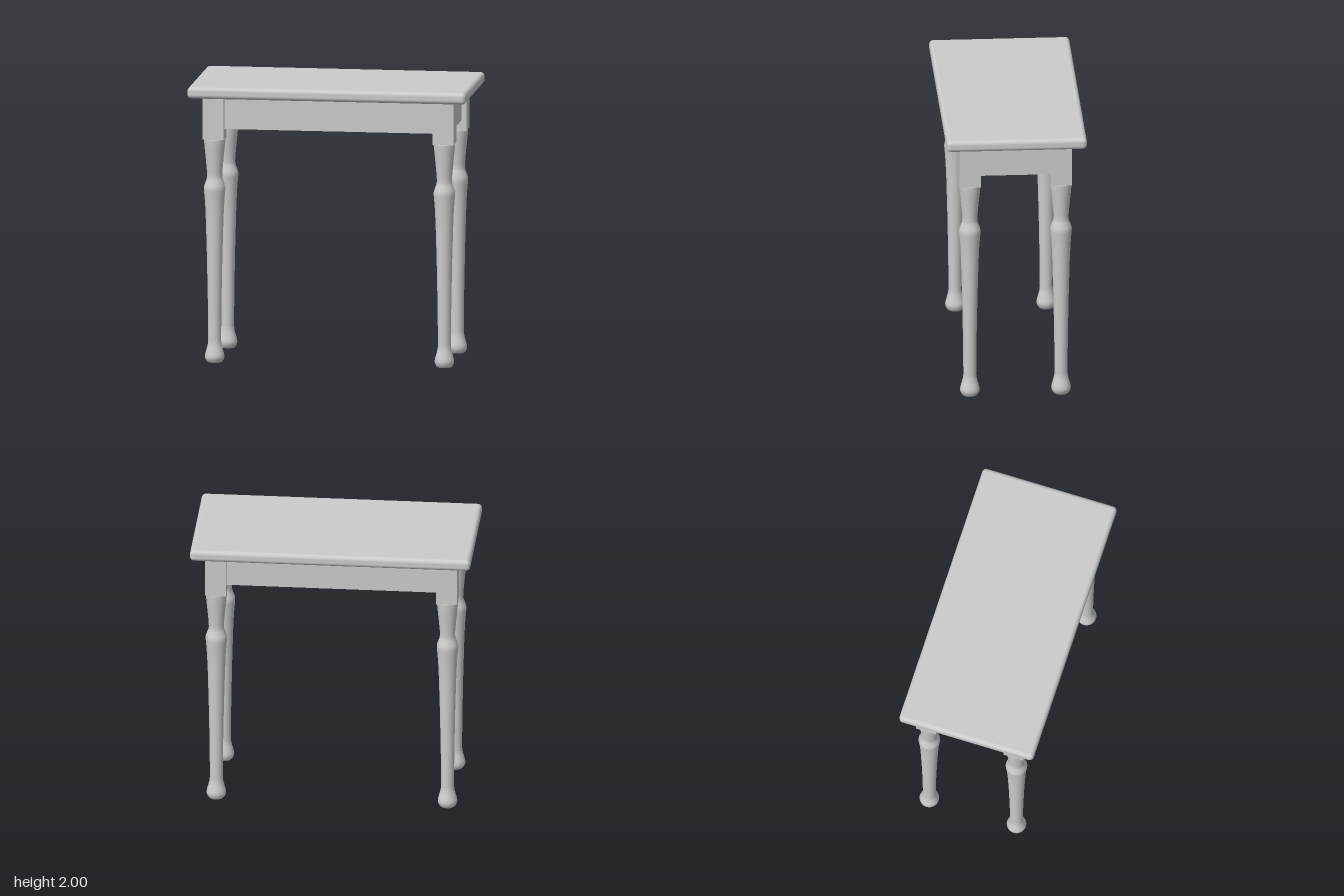
import * as THREE from 'three';
import { RoundedBoxGeometry } from 'three/addons/geometries/RoundedBoxGeometry.js';

const material = new THREE.MeshStandardMaterial({ color: 0xcccccc });

const LEG_X = 0.825, LEG_Z = 0.325; // leg centres
const BLOCK = 0.15; // square leg head
const TOP_UNDER = 1.917, BLOCK_BOTTOM = 1.61, APRON_BOTTOM = 1.685;
const APRON_CENTRE = 0.015, APRON_THICK = 0.05; // offset outward from leg centre

// Turned leg outline: radius, height
const LEG_PROFILE = [
  [0, 0], [0.05, 0], [0.058, 0.008], [0.068, 0.027], [0.07, 0.045], [0.066, 0.065],
  [0.055, 0.105], [0.049, 0.13], [0.046, 0.16], [0.049, 0.45], [0.055, 0.75], [0.062, 1.0],
  [0.067, 1.12], [0.072, 1.19], [0.076, 1.235], [0.077, 1.255], [0.073, 1.275],
  [0.058, 1.315], [0.054, 1.335], [0.055, 1.37], [0.063, 1.46], [0.071, 1.54],
  [0.077, 1.603], [0.074, BLOCK_BOTTOM], [0, BLOCK_BOTTOM],
].map(([r, y]) => new THREE.Vector2(r, y));

function add(parent, name, geometry, x, y, z) {
  const mesh = new THREE.Mesh(geometry, material);
  mesh.name = name;
  mesh.position.set(x, y, z);
  parent.add(mesh);
}

export function createModel() {
  const table = new THREE.Group();
  table.name = 'table';

  // Top with rounded edges
  const topHeight = 2 - TOP_UNDER;
  add(table, 'tableTop', new RoundedBoxGeometry(2, topHeight, 1, 4, 0.03), 0, TOP_UNDER + topHeight / 2, 0);

  // Four legs, each a square head over a turned shaft
  const blockHeight = TOP_UNDER - BLOCK_BOTTOM;
  const blockGeometry = new THREE.BoxGeometry(BLOCK, blockHeight, BLOCK);
  const shaftGeometry = new THREE.LatheGeometry(LEG_PROFILE, 32);
  for (const sx of [-1, 1]) {
    for (const sz of [-1, 1]) {
      const leg = new THREE.Group();
      leg.name = `${sz > 0 ? 'front' : 'back'}${sx > 0 ? 'Left' : 'Right'}Leg`;
      leg.position.set(sx * LEG_X, 0, sz * LEG_Z);
      add(leg, 'legBlock', blockGeometry, 0, BLOCK_BOTTOM + blockHeight / 2, 0);
      add(leg, 'turnedShaft', shaftGeometry, 0, 0, 0);
      table.add(leg);
    }
  }

  // Apron boards between the leg heads, set back from their faces
  const apronHeight = TOP_UNDER - APRON_BOTTOM;
  const apronY = APRON_BOTTOM + apronHeight / 2;
  const longApron = new THREE.BoxGeometry(2 * LEG_X - BLOCK, apronHeight, APRON_THICK);
  const shortApron = new THREE.BoxGeometry(APRON_THICK, apronHeight, 2 * LEG_Z - BLOCK);
  for (const s of [-1, 1]) {
    add(table, s > 0 ? 'frontApron' : 'backApron', longApron, 0, apronY, s * (LEG_Z + APRON_CENTRE));
    add(table, s > 0 ? 'leftApron' : 'rightApron', shortApron, s * (LEG_X + APRON_CENTRE), apronY, 0);
  }

  return table;
}
